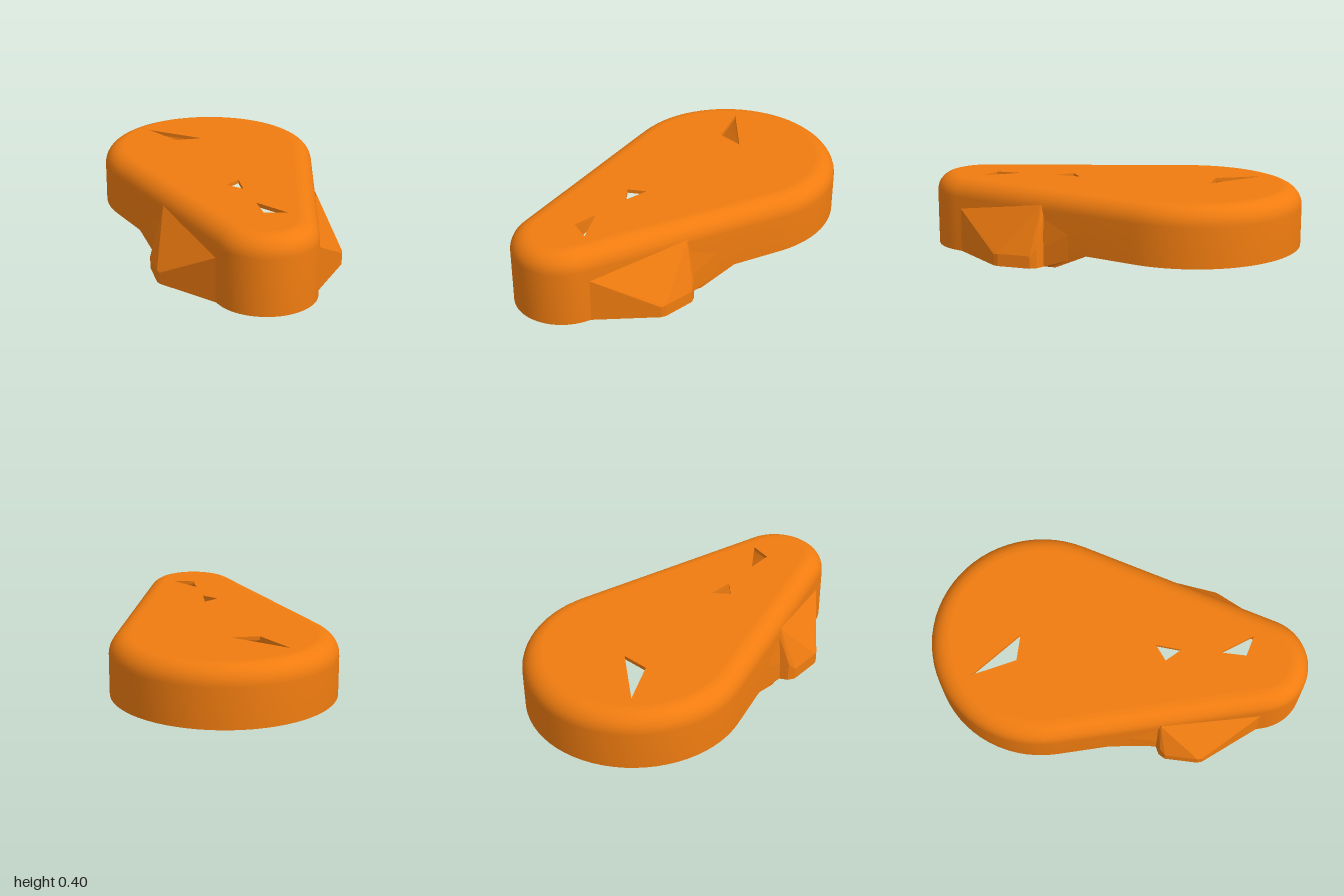
import * as THREE from 'three';
import { toCreasedNormals } from 'three/addons/utils/BufferGeometryUtils.js';
import { ConvexGeometry } from 'three/addons/geometries/ConvexGeometry.js';

const BACK = { z: -0.422, r: 0.578 };
const FRONT = { z: 0.74, r: 0.26 };
const TOP = 0.395, FILLET = 0.1, WALL = 0.02;
const TILT = Math.asin((BACK.r - FRONT.r) / (FRONT.z - BACK.z));

// Pear outline in x/z: two arcs joined by tangent lines, shrunk by inset.
// With flatFront the front arc becomes two straight chords.
function outline(inset, flatFront = false) {
  const pts = [];
  const arc = (c, from, to, n, flat) => {
    const span = (to - from) / 2;
    for (let i = 0; i <= n; i++) {
      const a = from + (to - from) * i / n;
      const local = span * ((2 * i / n) % 1 - 0.5);
      const r = (c.r - inset) * (flat ? Math.cos(span / 2) / Math.cos(local) : 1);
      pts.push(new THREE.Vector2(r * Math.cos(a), c.z + r * Math.sin(a)));
    }
  };
  arc(BACK, Math.PI - TILT, 2 * Math.PI + TILT, 40, false);
  const backLeft = pts[pts.length - 1].clone(), backRight = pts[0];
  const start = pts.length;
  arc(FRONT, TILT, Math.PI - TILT, 24, flatFront);
  const frontLeft = pts[start].clone(), frontRight = pts[pts.length - 1].clone();
  // Extra points where the lower rim bends
  const bends = [0.2465, 0.4186, 0.6, 0.8];
  pts.splice(start, 0, ...bends.map(t => backLeft.clone().lerp(frontLeft, t)));
  pts.push(...bends.map(t => backRight.clone().lerp(frontRight, t)).reverse());
  return pts;
}

// Lower rim: raised at the back, sloping down to the ground at the front
const rimHeight = z => 0.088 * (1 - THREE.MathUtils.clamp(z / 0.185, 0, 1));

// Inside, the rounding under the ceiling reaches deeper towards the front
const innerHeight = (y, z) => {
  const ceiling = TOP - WALL;
  return ceiling - (ceiling - y) * (1 + THREE.MathUtils.smoothstep(z, 0.3, 0.75));
};

// Quarter round of the top edge, from the wall up to the flat top
function edgeArc(thickness, steps) {
  const r = FILLET - thickness;
  return Array.from({ length: steps + 1 }, (_, i) => {
    const a = i / steps * Math.PI / 2;
    return [FILLET - r * Math.cos(a), TOP - FILLET + r * Math.sin(a)];
  });
}

// Thin wall: cross-section from the ceiling, down the inside, under the rim and up the outside
function wallGeometry() {
  const rings = [
    ...edgeArc(WALL, 4).reverse().map(([inset, y]) => [outline(inset, true), z => innerHeight(y, z)]),
    [outline(WALL, true), rimHeight],
    [outline(0), rimHeight],
    ...edgeArc(0, 8).map(([inset, y]) => [outline(inset), () => y]),
  ];
  const n = rings[0][0].length;
  const positions = [], index = [];
  rings.forEach(([ring, height]) => ring.forEach(p => positions.push(p.x, height(p.y), p.y)));
  for (let j = 0; j < rings.length - 1; j++) {
    for (let i = 0; i < n; i++) {
      const k = (i + 1) % n;
      const a = j * n + i, b = a + n, c = j * n + k, d = c + n;
      index.push(a, b, c, b, d, c);
    }
  }
  const geo = new THREE.BufferGeometry();
  geo.setAttribute('position', new THREE.Float32BufferAttribute(positions, 3));
  geo.setIndex(index);
  return toCreasedNormals(geo, 0.6);
}

// Thin top plate with three triangular openings
function plateGeometry() {
  const shape = new THREE.Shape(outline(FILLET));
  const holes = [
    [[-0.275, -0.74], [-0.02, -0.52], [-0.165, -0.52]],
    [[-0.07, 0.25], [0.01, 0.19], [0.0, 0.325]],
    [[0.01, 0.53], [0.125, 0.695], [0.01, 0.665]],
  ];
  holes.forEach(h => shape.holes.push(new THREE.Path(h.map(([x, z]) => new THREE.Vector2(x, z)))));
  const geo = new THREE.ExtrudeGeometry(shape, { depth: WALL, bevelEnabled: false });
  return geo.rotateX(Math.PI / 2).translate(0, TOP, 0);
}

// Faceted side lug that tapers forward into the wall
const LUG = [
  [0.258, 0.235, 0.78], [0.258, 0, 0.78],
  [0.478, 0, 0.505], [0.478, 0.06, 0.505], [0.486, 0, 0.48], [0.486, 0.065, 0.48],
  [0.486, 0.065, 0.305], [0.486, 0, 0.305], [0.465, 0, 0.27], [0.465, 0.1, 0.275],
  [0.405, 0.32, 0.265], [0.398, 0.3, 0.25], [0.398, 0, 0.25], [0.425, 0, 0.25],
];

// Slim web that blends the wall into the back of the lug
const WEB = [
  [0.47, 0.088, 0], [0.47, 0.25, 0], [0.42, 0, 0.185],
  [0.424, 0, 0.25], [0.424, 0.1, 0.25], [0.402, 0.3, 0.26], [0.398, 0, 0.255],
];

const hull = (corners, side) =>
  new ConvexGeometry(corners.map(([x, y, z]) => new THREE.Vector3(side * x, y, z)));

export function createModel() {
  const group = new THREE.Group();
  group.name = 'pearShapedCover';
  const material = new THREE.MeshStandardMaterial({ color: 0xf07c10, side: THREE.DoubleSide });
  const add = (name, geo) => {
    const mesh = new THREE.Mesh(geo, material);
    mesh.name = name;
    group.add(mesh);
  };
  add('wall', wallGeometry());
  add('topPlate', plateGeometry());
  for (const [name, side] of [['left', 1], ['right', -1]]) {
    add(name + 'Lug', hull(LUG, side));
    add(name + 'Web', hull(WEB, side));
  }
  return group;
}
